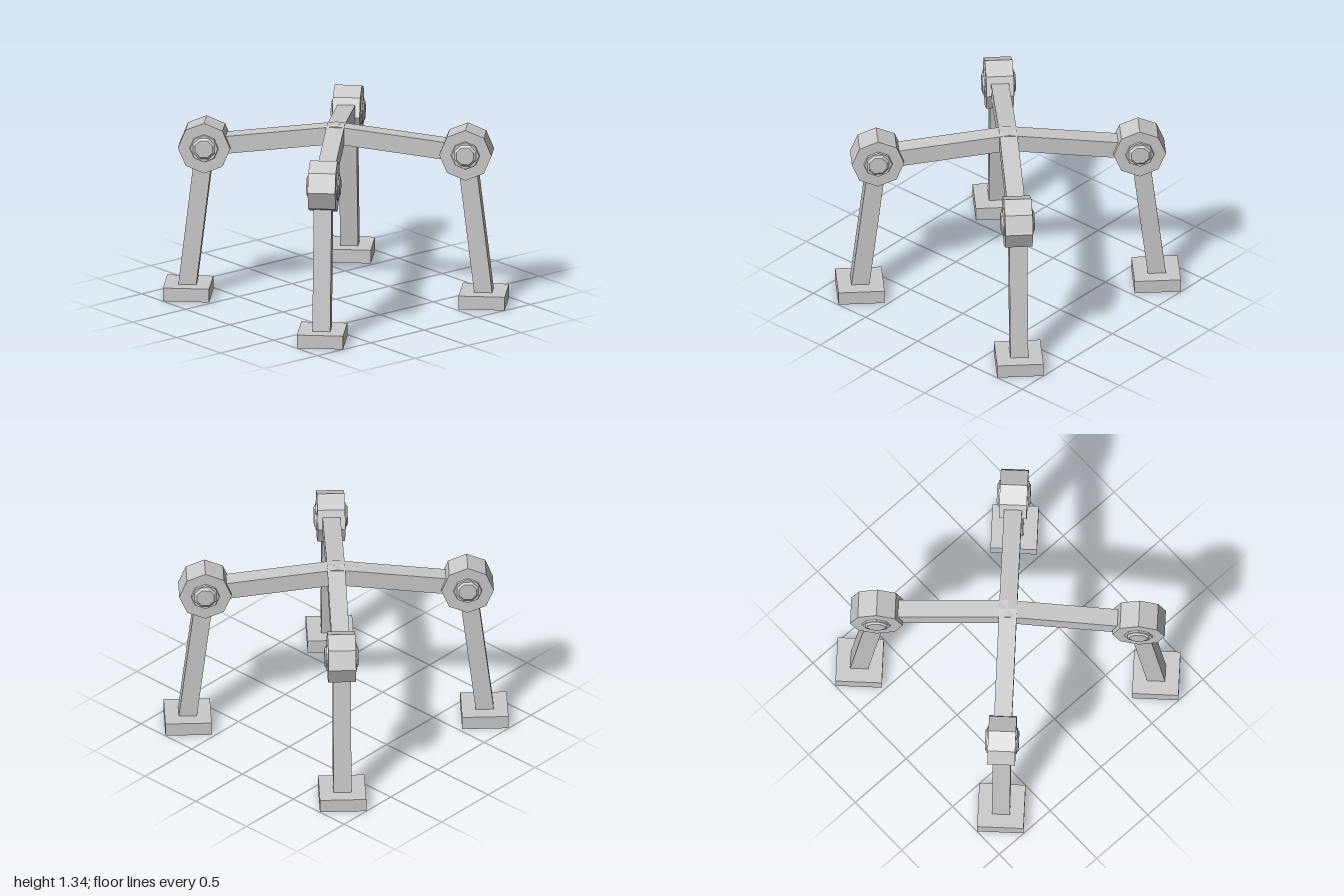
import * as THREE from 'three';

const material = new THREE.MeshStandardMaterial({ color: 0xcccccc, flatShading: true });

function addMesh(parent, name, geometry, x, y, z = 0) {
  const mesh = new THREE.Mesh(geometry, material);
  mesh.name = name;
  mesh.position.set(x, y, z);
  parent.add(mesh);
  return mesh;
}

// Square bar running between two points of the limb's vertical plane
function addBar(parent, name, [x0, y0], [x1, y1], width) {
  const dx = x1 - x0, dy = y1 - y0;
  const geometry = new THREE.BoxGeometry(Math.hypot(dx, dy), width, width);
  const bar = addMesh(parent, name, geometry, (x0 + x1) / 2, (y0 + y1) / 2);
  bar.rotation.z = Math.atan2(dy, dx);
}

// Octagonal prism with its axis along z; turn spins it about that axis
function octagon(rTop, rBottom, depth, turn = 0) {
  return new THREE.CylinderGeometry(rTop, rBottom, depth, 8).rotateY(turn).rotateX(Math.PI / 2);
}

function createLimb() {
  const limb = new THREE.Group();
  limb.name = 'limb';
  const joint = [0.951, 1.145];

  addBar(limb, 'arm', [-0.008, 1.261], joint, 0.13);
  addBar(limb, 'leg', joint, [1.079, 0.08], 0.13);
  addMesh(limb, 'foot', new THREE.BoxGeometry(0.336, 0.1, 0.336), 1.076, 0.05);
  addMesh(limb, 'joint', octagon(0.19, 0.19, 0.2), ...joint);

  // Washer and bolt on both sides of the joint
  for (const side of [1, -1]) {
    const fastener = new THREE.Group();
    fastener.name = 'fastener';
    fastener.position.set(joint[0], joint[1], side * 0.1);
    if (side < 0) fastener.rotation.y = Math.PI;
    addMesh(fastener, 'washer', octagon(0.1, 0.105, 0.01), 0, 0, 0.005);
    addMesh(fastener, 'bolt', octagon(0.068, 0.085, 0.012, Math.PI / 8), 0, 0, 0.016);
    limb.add(fastener);
  }
  return limb;
}

export function createModel() {
  const model = new THREE.Group();
  model.name = 'fourLeggedFrame';
  // Four equal limbs along the diagonals
  for (let i = 0; i < 4; i++) {
    const limb = createLimb();
    limb.rotation.y = Math.PI / 4 + (i * Math.PI) / 2;
    model.add(limb);
  }
  return model;
}
